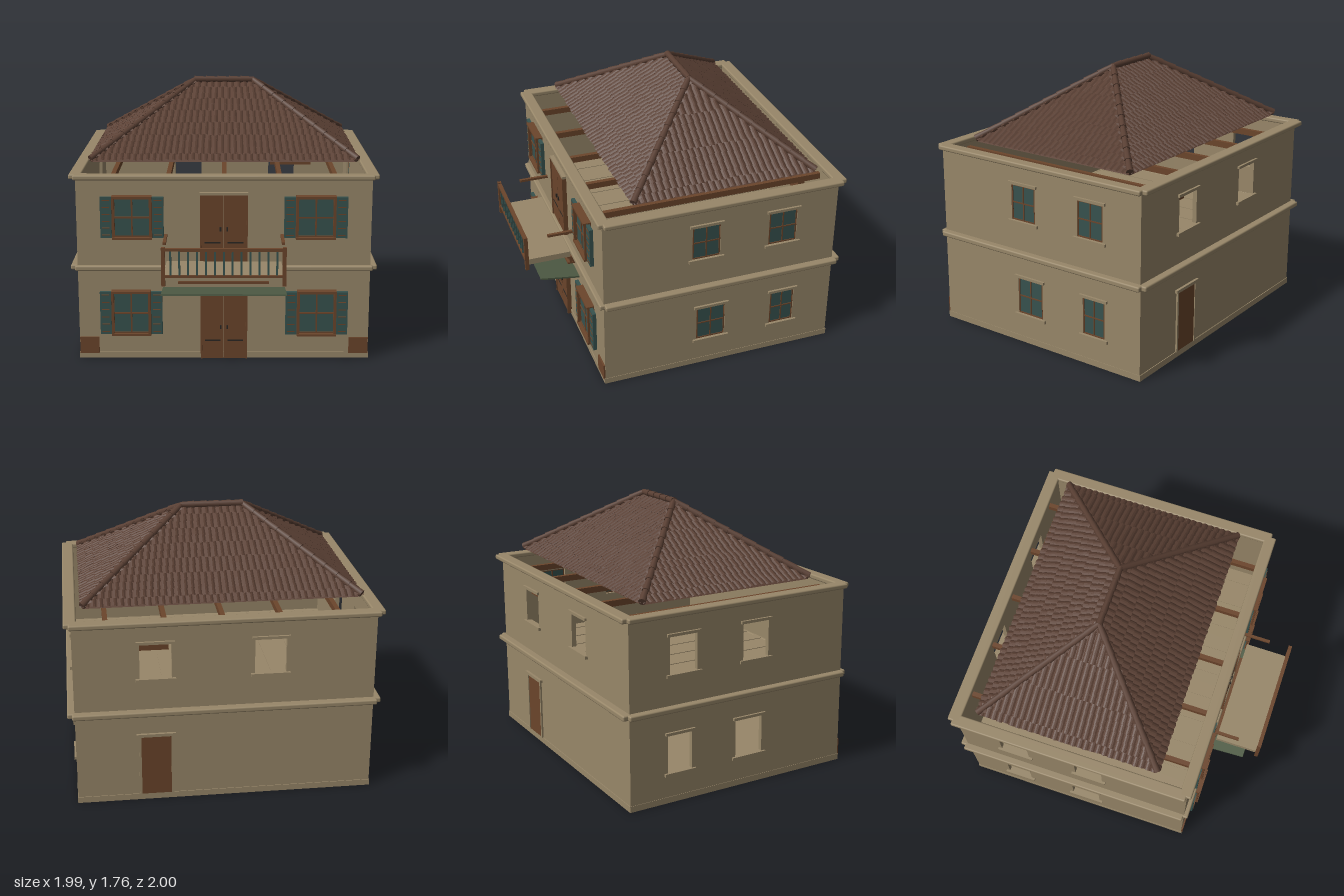
import * as THREE from 'three';
import { mergeGeometries } from 'three/addons/utils/BufferGeometryUtils.js';
import { RoundedBoxGeometry } from 'three/addons/geometries/RoundedBoxGeometry.js';

const mat = (name, color, side = THREE.FrontSide) => {
  const m = new THREE.MeshStandardMaterial({ color, side });
  m.name = name;
  return m;
};

export function createModel() {
  const plaster = mat('plaster', 0x988769);
  const wood = mat('wood', 0x6b452b);
  const teal = mat('tealPaint', 0x37524e);
  const roofTile = mat('roofTile', 0x593f33, THREE.DoubleSide);
  const green = mat('awningGreen', 0x4f5c45);
  const dark = mat('darkMetal', 0x2a2622);

  const model = new THREE.Group();
  model.name = 'house';
  const group = (name, parent = model) => {
    const g = new THREE.Group();
    g.name = name;
    parent.add(g);
    return g;
  };
  const mesh = (name, geo, m, parent = model) => {
    const o = new THREE.Mesh(geo, m);
    o.name = name;
    parent.add(o);
    return o;
  };
  // Box given by its minimum and maximum on each axis
  const box = (name, m, x0, x1, y0, y1, z0, z1, parent = model) => {
    const o = mesh(name, new THREE.BoxGeometry(x1 - x0, y1 - y0, z1 - z0), m, parent);
    o.position.set((x0 + x1) / 2, (y0 + y1) / 2, (z0 + z1) / 2);
    return o;
  };

  // Walls: extruded panels with window holes [u0, u1, y0, y1]
  const T = 0.03;
  const wall = (name, u0, u1, holes) => {
    const s = new THREE.Shape([[u0, 0.02], [u1, 0.02], [u1, 1.22], [u0, 1.22]].map(p => new THREE.Vector2(...p)));
    for (const [a, b, c, d] of holes)
      s.holes.push(new THREE.Path([[a, c], [a, d], [b, d], [b, c]].map(p => new THREE.Vector2(...p))));
    return mesh(name, new THREE.ExtrudeGeometry(s, { depth: T, bevelEnabled: false }), plaster);
  };
  const sideWindows = [[-0.14, 0.05, 0.84, 1.08], [-0.67, -0.475, 0.84, 1.08],
    [-0.19, 0.01, 0.2, 0.45], [-0.685, -0.515, 0.2, 0.45]];
  const backWindows = [[-0.38, -0.18, 0.85, 1.08], [0.34, 0.54, 0.85, 1.08]];
  wall('frontWall', -0.95, 0.95, []).position.z = 0.61;
  wall('backWall', -0.95, 0.95, backWindows).position.z = -0.95;
  for (const s of [1, -1]) {
    const w = wall(s > 0 ? 'leftWall' : 'rightWall', -0.61, 0.92, sideWindows.map(([a, b, c, d]) => [-b, -a, c, d]));
    w.rotation.y = Math.PI / 2;
    w.position.x = s > 0 ? 0.92 : -0.95;
  }
  box('plinth', plaster, -0.953, 0.953, 0, 0.04, -0.955, 0.645);

  // Cornices at mid height and at the wall top
  for (const [name, y0, y1] of [['middleCornice', 0.605, 0.64], ['topCornice', 1.207, 1.24]]) {
    const g = group(name);
    const bar = (x0, x1, z0, z1) => {
      const o = mesh('corniceBar', new RoundedBoxGeometry(x1 - x0, y1 - y0, z1 - z0, 2, 0.01), plaster, g);
      o.position.set((x0 + x1) / 2, (y0 + y1) / 2, (z0 + z1) / 2);
    };
    bar(-0.965, 0.965, 0.59, 0.67);
    bar(-0.965, 0.965, -1, -0.915);
    bar(-0.995, -0.915, -0.968, 0.638);
    bar(0.915, 0.995, -0.968, 0.638);
  }

  // Interior plank floor, ceiling beams and hanging shelf
  const floor = group('upperFloor');
  for (let i = 0; i < 20; i++) {
    const x = -0.92 + i * 0.092;
    box('floorPlank', plaster, x, x + 0.092, 0.61, 0.637 + (i % 2) * 0.004, -0.92, 0.61, floor);
  }
  const beams = group('ceilingBeams');
  for (let i = -2; i <= 2; i++) box('beam', wood, i * 0.368 - 0.015, i * 0.368 + 0.015, 1.14, 1.18, -0.92, 0.61, beams);
  box('shelf', wood, 0.35, 0.66, 1.0, 1.16, -0.86, -0.81);

  // Glass with a cross bar frame, lying in the local xy plane
  const pane = (parent, x0, x1, y0, y1, t) => {
    const cx = (x0 + x1) / 2, cy = (y0 + y1) / 2, e = 0.005;
    box('glass', teal, x0, x1, y0, y1, -0.003, 0.003, parent);
    for (const x of [x0, cx, x1]) box('uprightBar', wood, x - t / 2, x + t / 2, y0 - t / 2, y1 + t / 2, -e, e + 0.003, parent);
    for (const y of [y0, cy, y1]) box('crossBar', wood, x0 - t / 2, x1 + t / 2, y - t / 2, y + t / 2, -e, e + 0.003, parent);
  };

  // Sills, lintels and flat surrounds of the side windows; glazing on the left
  for (const s of [1, -1]) for (const [z0, z1, y0, y1] of sideWindows) {
    const g = group('sideWindow');
    const xs = d => s > 0 ? [0.945, 0.95 + d] : [-0.95 - d, -0.945];
    box('sill', plaster, ...xs(0.015), y0 - 0.02, y0, z0 - 0.025, z1 + 0.025, g);
    box('lintel', plaster, ...xs(0.015), y1, y1 + 0.018, z0 - 0.02, z1 + 0.02, g);
    if (s > 0) {
      const p = group('glazing', g);
      p.rotation.y = Math.PI / 2;
      p.position.set(0.94, 0, 0);
      pane(p, -z1 + 0.006, -z0 - 0.006, y0 + 0.006, y1 - 0.006, 0.008);
    }
  }
  for (const [x0, x1, y0, y1] of backWindows) {
    const g = group('backWindow');
    box('sill', plaster, x0 - 0.025, x1 + 0.025, y0 - 0.02, y0, -0.968, -0.945, g);
    box('lintel', plaster, x0 - 0.02, x1 + 0.02, y1, y1 + 0.018, -0.965, -0.945, g);
  }

  // Back door
  const backDoor = group('backDoor');
  box('doorLeaf', wood, 0.35, 0.54, 0.04, 0.45, -0.956, -0.945, backDoor);
  box('doorLintel', plaster, 0.32, 0.57, 0.45, 0.47, -0.968, -0.945, backDoor);
  for (const x of [0.335, 0.54]) box('doorJamb', plaster, x, x + 0.015, 0.04, 0.45, -0.962, -0.945, backDoor);

  // Front windows with louvred shutters
  for (const s of [1, -1]) for (const [cx, y0, y1] of [[0.59, 0.83, 1.1], [0.605, 0.175, 0.465]]) {
    const g = group('frontWindow');
    g.position.set(s * cx, 0, 0.662);
    pane(g, -0.115, 0.115, y0 + 0.01, y1 - 0.01, 0.01);
    for (const k of [1, -1]) {
      box('frameSide', wood, k * 0.12 - 0.008, k * 0.12 + 0.008, y0, y1, -0.022, 0.025, g);
      const a = k > 0 ? 0.13 : -0.203, b = a + 0.073;
      box('shutter', teal, a, b, y0, y1, -0.012, 0.012, g);
      for (let i = 0; i <= 5; i++) {
        const y = y0 + 0.02 + i * (y1 - y0 - 0.04) / 5;
        box('shutterRail', wood, a + 0.012, b - 0.012, y - 0.003, y + 0.003, 0.011, 0.015, g);
      }
    }
    for (const y of [y0, y1]) box('frameBar', wood, -0.128, 0.128, y - 0.007, y + 0.007, -0.022, 0.03, g);
  }

  // Front double doors
  for (const [name, y0, y1] of [['frontDoor', 0.005, 0.455], ['balconyDoor', 0.67, 1.11]]) {
    const g = group(name);
    for (const s of [1, -1]) {
      const a = s > 0 ? 0.002 : -0.145;
      box('doorLeaf', wood, a, a + 0.143, y0, y1, 0.635, 0.662, g);
      box('doorMoulding', dark, a + 0.02, a + 0.123, y0 + 0.12, y0 + 0.13, 0.66, 0.664, g);
      box('doorJamb', wood, s * 0.148 - 0.005, s * 0.148 + 0.005, y0, y1, 0.635, 0.67, g);
      box('handle', dark, s * 0.022 - 0.005, s * 0.022 + 0.005, y0 + 0.205, y0 + 0.23, 0.66, 0.672, g);
    }
    box('doorLintel', plaster, -0.155, 0.155, y1, y1 + 0.018, 0.635, 0.668, g);
  }

  // Wooden corner plates at the base and panel above the door
  for (const s of [1, -1]) box('cornerPlate', wood, s * 0.885 - 0.063, s * 0.885 + 0.063, 0.035, 0.145, 0.638, 0.65);
  const panel = group('transomPanel');
  box('panelBoard', wood, -0.29, 0.29, 0.535, 0.58, 0.635, 0.675, panel);
  for (const y of [0.533, 0.578]) box('panelEdge', wood, -0.298, 0.292, y - 0.006, y + 0.006, 0.635, 0.69, panel);

  // Tilted awning
  const awning = mesh('awning', new THREE.BoxGeometry(0.795, 0.012, 0.27), green);
  awning.position.set(0, 0.502, 0.77);
  awning.rotation.x = -0.15;

  // Balcony: slab, railing and side handrails
  const balcony = group('balcony');
  box('slab', plaster, -0.37, 0.37, 0.64, 0.68, 0.69, 0.98, balcony);
  for (const s of [1, -1]) {
    box('post', wood, s * 0.375 - 0.012, s * 0.375 + 0.012, 0.61, 0.858, 0.975, 1, balcony);
    box('sideHandrail', wood, s * 0.375 - 0.01, s * 0.375 + 0.01, 0.832, 0.848, 0.64, 0.84, balcony);
  }
  box('handrail', wood, -0.38, 0.38, 0.835, 0.852, 0.975, 1, balcony);
  box('bottomRail', wood, -0.38, 0.38, 0.665, 0.68, 0.978, 0.997, balcony);
  for (let i = 0; i < 13; i++) {
    const x = -0.33 + i * 0.055;
    box('baluster', teal, x - 0.006, x + 0.006, 0.68, 0.835, 0.981, 0.993, balcony);
  }

  // Hip roof: underlay and overlapping curved tiles on each slope
  const V = (x, y, z) => new THREE.Vector3(x, y, z);
  let seed = 7;
  const rnd = () => (seed = (seed * 16807) % 2147483647) / 2147483647 - 0.5;
  const A = V(-0.87, 1.275, 0.41), B = V(0.87, 1.275, 0.41), C = V(0.87, 1.275, -0.81), D = V(-0.87, 1.275, -0.81);
  const L = V(-0.2, 1.71, -0.2), R = V(0.2, 1.71, -0.2);
  const roof = group('roof');
  const tiles = [];
  for (const [a, b, c, d] of [[A, B, R, L], [B, C, R, R], [C, D, L, R], [D, A, L, L]]) {
    const base = new THREE.BufferGeometry().setFromPoints([a, b, c, a, c, d]);
    base.computeVertexNormals();
    mesh('roofUnderlay', base, roofTile, roof);
    const e = b.clone().sub(a).normalize();
    const up = d.clone().sub(a);
    up.addScaledVector(e, -up.dot(e));
    const rows = 13, len = up.length() / rows;
    up.normalize();
    const n = e.clone().cross(up);
    for (let r = 0; r < rows; r++) {
      const s = r / rows, p = a.clone().lerp(d, s), w = p.distanceTo(b.clone().lerp(c, s));
      const count = Math.floor(w / 0.042);
      for (let i = 0; i < count; i++) {
        const g = new THREE.PlaneGeometry(0.044, len * 1.3, 4, 1).toNonIndexed();
        const q = g.attributes.position;
        const j = rnd() * 0.008;
        for (let k = 0; k < q.count; k++) {
          const low = q.getY(k) < 0 ? 1 : 0;
          q.setY(k, q.getY(k) + low * rnd() * 0.004 + j);
          q.setZ(k, 0.004 + 0.012 * Math.cos(q.getX(k) * 65) + low * (0.012 + j * 0.6));
        }
        const pos = p.clone().addScaledVector(e, (i + 0.5) * w / count).addScaledVector(up, len * 0.55);
        g.applyMatrix4(new THREE.Matrix4().makeBasis(e, up, n).setPosition(pos));
        g.computeVertexNormals();
        tiles.push(g);
      }
    }
  }
  mesh('roofTiles', mergeGeometries(tiles), roofTile, roof);

  // Rounded cap tiles along the hips and the ridge
  const caps = (name, from, to, n) => {
    const dir = to.clone().sub(from), len = dir.length() / n;
    const turn = new THREE.Quaternion().setFromUnitVectors(V(0, 1, 0), dir.clone().normalize());
    for (let i = 0; i < n; i++) {
      const o = mesh(name, new THREE.CylinderGeometry(0.018, 0.024, len * 1.15, 8), roofTile, roof);
      o.position.copy(from).addScaledVector(dir, (i + 0.5) / n);
      o.quaternion.copy(turn);
    }
  };
  const lift = (v, y) => v.clone().setY(v.y + y);
  for (const [c, r] of [[A, L], [B, R], [C, R], [D, L]]) caps('hipCap', lift(c, 0.025), lift(r, 0.025), 10);
  caps('ridgeCap', lift(L, 0.027), lift(R, 0.027), 5);

  return model;
}
